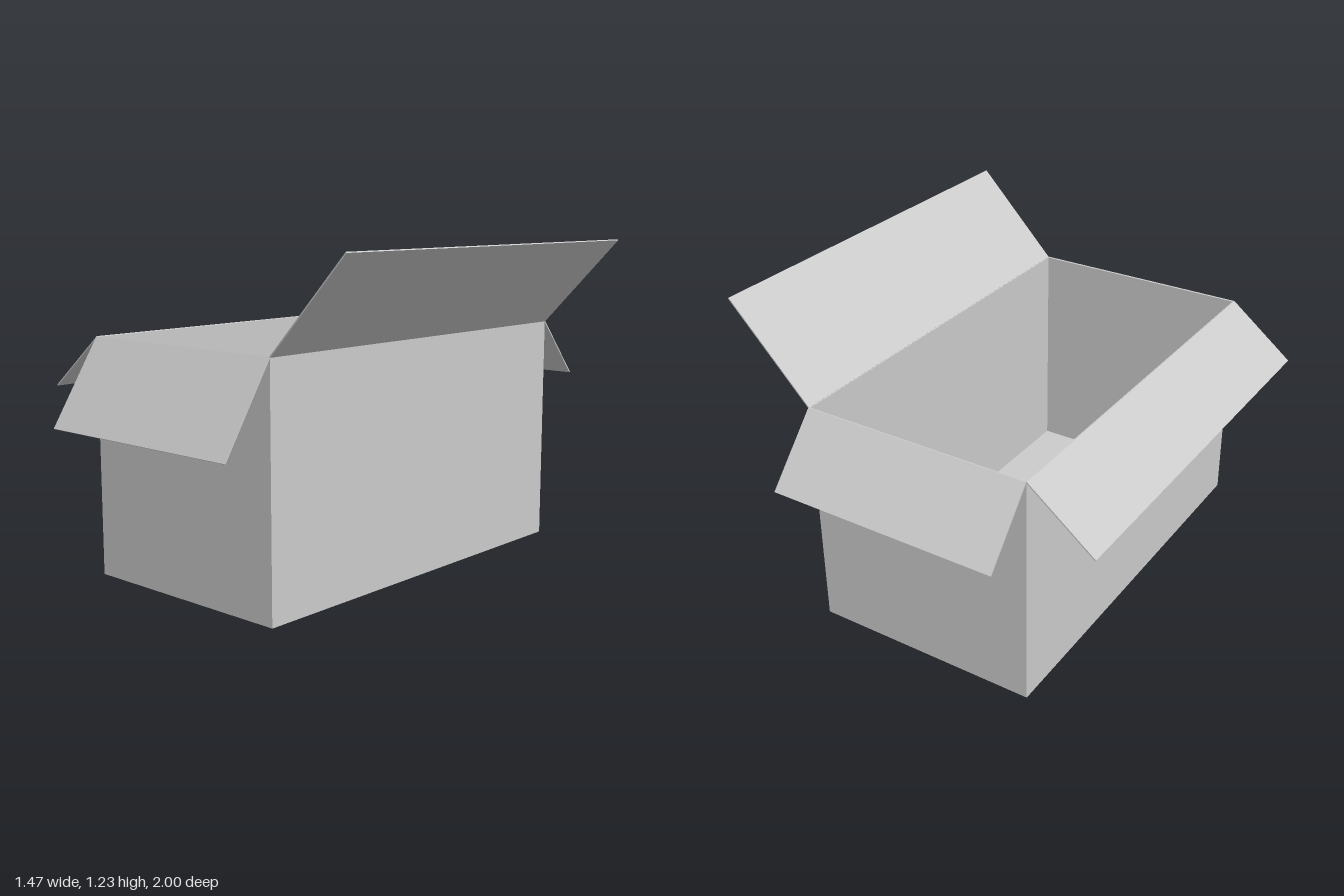
import * as THREE from 'three';

const material = new THREE.MeshStandardMaterial({ color: 0xcccccc });
const THICK = 0.005;

// Thin cardboard sheet running from a to b in the (x, y) or (z, y) plane,
// and spanning lo..hi along the remaining horizontal axis.
function sheet(name, axis, a, b, lo, hi) {
  const du = b[0] - a[0], dy = b[1] - a[1];
  const len = Math.hypot(du, dy), width = hi - lo;
  const u = (a[0] + b[0]) / 2, y = (a[1] + b[1]) / 2, mid = (lo + hi) / 2;
  const alongX = axis === 'x';
  const mesh = new THREE.Mesh(
    alongX ? new THREE.BoxGeometry(len, THICK, width) : new THREE.BoxGeometry(width, THICK, len),
    material
  );
  mesh.name = name;
  if (alongX) {
    mesh.rotation.z = Math.atan2(dy, du);
    mesh.position.set(u, y, mid);
  } else {
    mesh.rotation.x = -Math.atan2(dy, du);
    mesh.position.set(mid, y, u);
  }
  return mesh;
}

export function createModel() {
  const box = new THREE.Group();
  box.name = 'openCardboardBox';

  const x0 = -0.478, x1 = 0.41, z0 = -0.792, z1 = 0.8, top = 0.893;
  const h = THICK / 2;

  // Bottom and four upright walls
  box.add(
    sheet('bottom', 'x', [x0, h], [x1, h], z0, z1),
    sheet('leftWall', 'x', [x1 - h, 0], [x1 - h, top], z0, z1),
    sheet('rightWall', 'x', [x0 + h, 0], [x0 + h, top], z0, z1),
    sheet('frontWall', 'z', [z1 - h, 0], [z1 - h, top], x0, x1),
    sheet('backWall', 'z', [z0 + h, 0], [z0 + h, top], x0, x1)
  );

  // Open flaps, each folded out to its own angle
  box.add(
    sheet('leftFlap', 'x', [x1, top], [0.732, 1.23], z0, z1),
    sheet('rightFlap', 'x', [x0, top], [-0.732, 0.69], z0, z1),
    sheet('frontFlap', 'z', [z1, top], [0.998, 0.58], x0, x1),
    sheet('backFlap', 'z', [z0, top], [-0.998, 0.66], x0, x1)
  );

  return box;
}
